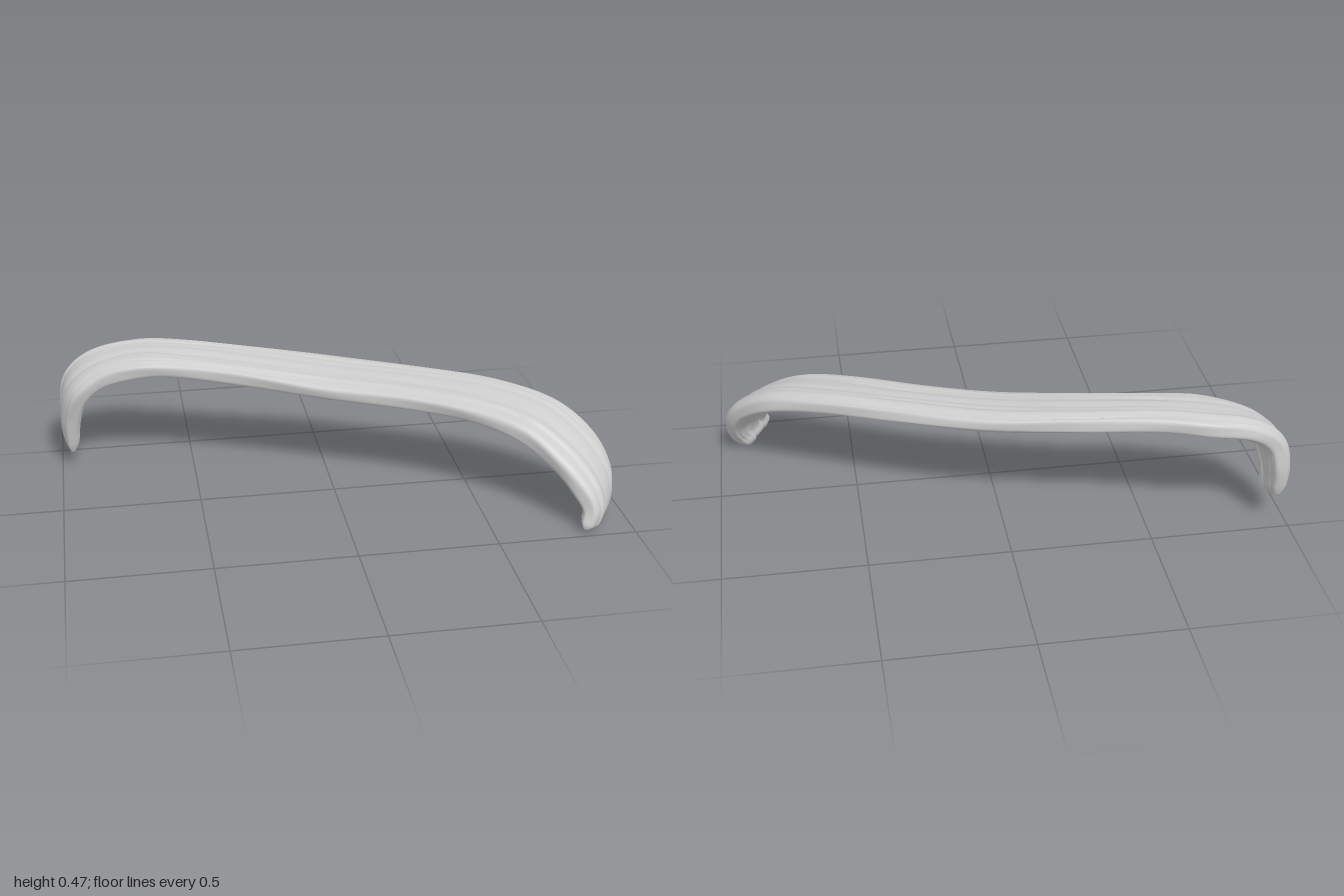
import * as THREE from 'three';

// Stations along the bent strap: back edge xyz, front edge xyz, thickness
const STATIONS = [
  [-0.955, 0.145, -0.49, -0.955, 0.07, -0.35, 0.06],
  [-0.955, 0.25, -0.505, -0.95, 0.20, -0.32, 0.08],
  [-0.93, 0.35, -0.505, -0.915, 0.31, -0.29, 0.085],
  [-0.84, 0.415, -0.51, -0.83, 0.38, -0.285, 0.085],
  [-0.68, 0.44, -0.505, -0.70, 0.42, -0.26, 0.085],
  [-0.50, 0.445, -0.455, -0.56, 0.425, -0.235, 0.08],
  [-0.22, 0.425, -0.38, -0.32, 0.405, -0.165, 0.08],
  [0.07, 0.405, -0.295, -0.03, 0.375, -0.06, 0.08],
  [0.37, 0.395, -0.165, 0.24, 0.365, 0.05, 0.08],
  [0.62, 0.38, -0.04, 0.46, 0.35, 0.165, 0.085],
  [0.80, 0.34, 0.07, 0.62, 0.31, 0.275, 0.09],
  [0.91, 0.26, 0.17, 0.73, 0.23, 0.37, 0.09],
  [0.955, 0.17, 0.24, 0.80, 0.15, 0.44, 0.09],
  [0.945, 0.08, 0.29, 0.83, 0.09, 0.475, 0.08],
  [0.90, 0.012, 0.33, 0.815, 0.03, 0.49, 0.065],
];

const curveOf = (pick) => new THREE.CatmullRomCurve3(STATIONS.map(pick), false, 'catmullrom', 0.5);

// Wandering lengthwise grain: soft ridges with sharp, intermittent grooves
function grain(u, side, s) {
  const k = u + 0.05 * Math.sin(s * 9 + side) + 0.03 * Math.sin(s * 23 + u * 4);
  const soft = Math.sin(k * 11 + side * 2) * 0.0025 + Math.sin(k * 19 + s * 5) * 0.0015;
  const groove = Math.pow(1 - Math.abs(Math.sin(k * 8 + side)), 5);
  const broken = 0.5 + 0.5 * Math.sin(s * 31 + Math.floor((k * 8 + side) / Math.PI + 0.5) * 2.4);
  return soft - 0.008 * groove * broken;
}

function strapGeometry() {
  const back = curveOf((p) => new THREE.Vector3(p[0], p[1], p[2]));
  const front = curveOf((p) => new THREE.Vector3(p[3], p[4], p[5]));
  const thick = curveOf((p) => new THREE.Vector3(p[6], 0, 0));
  const rings = 240, sides = 112;
  const pos = [], index = [];
  const middle = (t) => back.getPoint(t).add(front.getPoint(t)).multiplyScalar(0.5);
  const power = (v, e) => Math.sign(v) * Math.pow(Math.abs(v), e);

  for (let i = 0; i <= rings; i++) {
    const t = i / rings;
    const centre = middle(t);
    const across = front.getPoint(t).sub(back.getPoint(t)).multiplyScalar(0.5);
    const along = middle(Math.min(1, t + 0.004)).sub(middle(Math.max(0, t - 0.004))).normalize();
    const up = across.clone().cross(along).normalize();
    const half = thick.getPoint(t).x / 2;
    // round off the two tips
    const near = Math.max(0, 1 - Math.min(i, rings - i) / 6);
    const round = 1 - 0.4 * near * near;
    for (let j = 0; j < sides; j++) {
      const a = (j / sides) * Math.PI * 2;
      const u = power(Math.cos(a), 0.65), v = power(Math.sin(a), 0.55);
      // slightly hollow underside
      const hollow = v < 0 ? 0.008 * (1 - u * u) : 0;
      const h = v * half * round + hollow + v * grain(u, v > 0 ? 1 : 4, t);
      const w = u * (1 - 0.08 * near * near) + Math.cos(a) * 0.012 * Math.sin(t * 40 + v * 3);
      const p = centre.clone().addScaledVector(across, w).addScaledVector(up, h);
      pos.push(p.x, Math.max(0, p.y), p.z);
    }
  }
  for (let i = 0; i < rings; i++) {
    for (let j = 0; j < sides; j++) {
      const k = (j + 1) % sides;
      const a = i * sides + j, b = i * sides + k;
      index.push(a, a + sides, b, a + sides, b + sides, b);
    }
  }
  // end faces, with their own vertices for a crisp edge
  for (const ring of [0, rings]) {
    const first = pos.length / 3;
    const c = middle(ring / rings);
    pos.push(c.x, c.y, c.z);
    for (let j = 0; j < sides; j++) {
      const o = (ring * sides + j) * 3;
      pos.push(pos[o], pos[o + 1], pos[o + 2]);
    }
    for (let j = 0; j < sides; j++) {
      const a = first + 1 + j, b = first + 1 + ((j + 1) % sides);
      if (ring === 0) index.push(first, a, b);
      else index.push(first, b, a);
    }
  }
  const geometry = new THREE.BufferGeometry();
  geometry.setAttribute('position', new THREE.Float32BufferAttribute(pos, 3));
  geometry.setIndex(index);
  geometry.computeVertexNormals();
  return geometry;
}

export function createModel() {
  const group = new THREE.Group();
  group.name = 'bentStrap';
  const strap = new THREE.Mesh(strapGeometry(), new THREE.MeshStandardMaterial({ color: 0xcccccc }));
  strap.name = 'grainedStrap';
  group.add(strap);
  return group;
}
